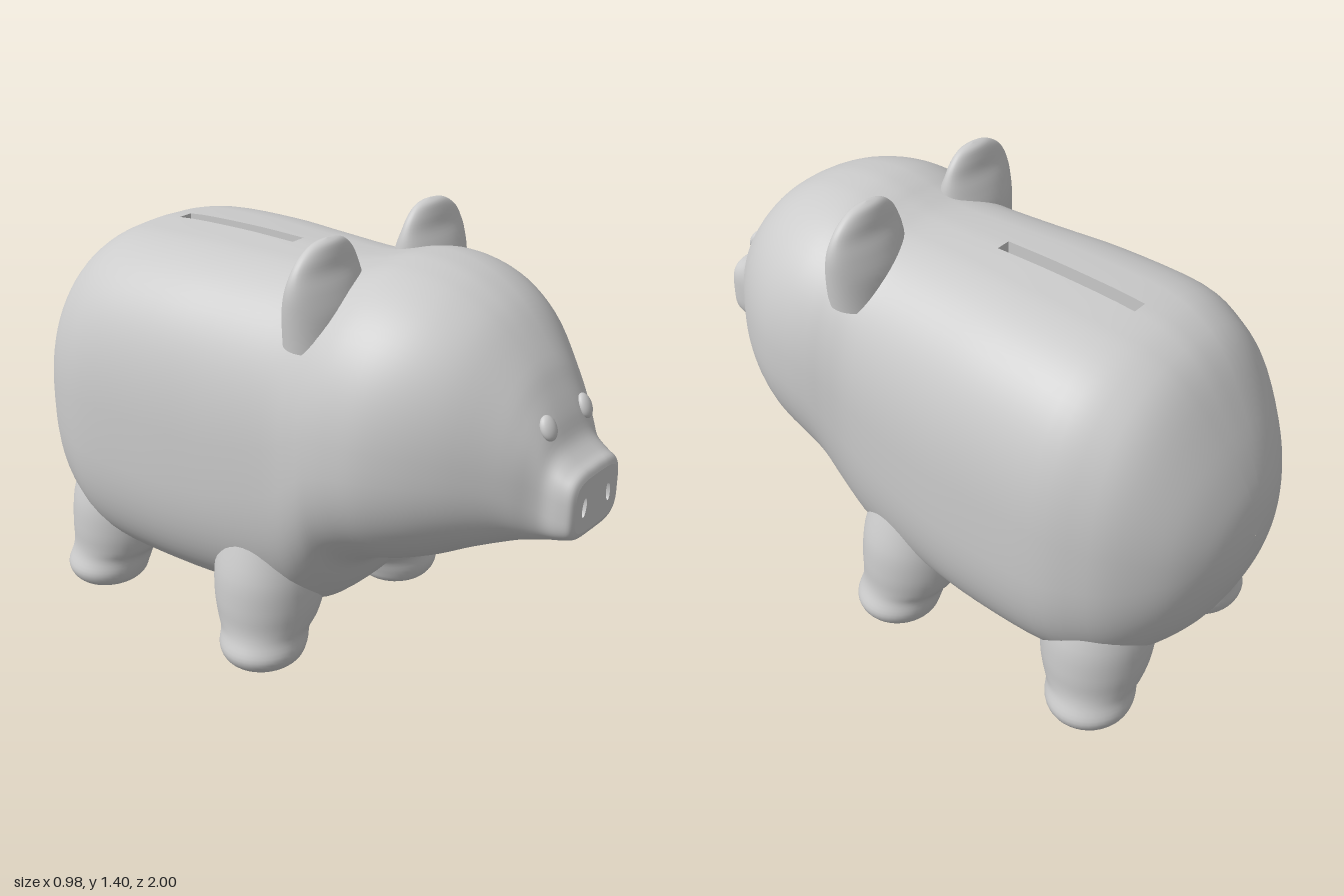
import * as THREE from 'three';

const SEG = 80, SUB = 4, SLOT = 0.025;

// Body stations from snout to rump: z, top, bottom, half width, height of widest point, squareness
const BODY = [
  [1.0, 0.835, 0.67, 0.11, 0.75, 4],
  [0.99, 0.855, 0.65, 0.128, 0.75, 3.8],
  [0.96, 0.872, 0.638, 0.138, 0.75, 3.6],
  [0.92, 0.91, 0.622, 0.145, 0.76, 3.2],
  [0.89, 0.975, 0.61, 0.165, 0.78, 2.9],
  [0.85, 1.045, 0.597, 0.205, 0.8, 2.5],
  [0.8, 1.12, 0.575, 0.25, 0.82, 2.3],
  [0.7, 1.225, 0.53, 0.335, 0.84, 2.3],
  [0.6, 1.285, 0.475, 0.4, 0.85, 2.3],
  [0.5, 1.315, 0.43, 0.442, 0.85, 2.3],
  [0.4, 1.322, 0.395, 0.455, 0.84, 2.35],
  [0.32, 1.308, 0.34, 0.452, 0.82, 2.4],
  [0.25, 1.285, 0.235, 0.442, 0.78, 2.5],
  [0.15, 1.265, 0.145, 0.438, 0.72, 2.6],
  [-0.08, 1.262, 0.13, 0.462, 0.66, 2.7],
  [-0.3, 1.258, 0.125, 0.482, 0.65, 2.8],
  [-0.56, 1.24, 0.128, 0.487, 0.65, 2.8],
  [-0.7, 1.2, 0.15, 0.453, 0.65, 2.6],
  [-0.8, 1.12, 0.205, 0.4, 0.65, 2.5],
  [-0.9, 0.97, 0.315, 0.305, 0.65, 2.3],
  [-0.96, 0.85, 0.44, 0.205, 0.65, 2.1],
  [-0.99, 0.755, 0.545, 0.105, 0.65, 2],
  [-1.0, 0.651, 0.649, 0.001, 0.65, 2],
];
const SLOT_START = 14 * SUB, SLOT_END = 16 * SUB;

// Leg rows: y, radius, lean towards the belly
const LEG = [
  [0, 0, 0], [0.003, 0.09, 0], [0.02, 0.127, 0], [0.06, 0.144, 0], [0.11, 0.146, 0.02],
  [0.15, 0.165, 0.045], [0.22, 0.18, 0.06], [0.32, 0.18, 0.07], [0.45, 0.16, 0.09],
];

// Ear rows: y, centre x, half width, half depth
const EAR = [
  [1.1, 0.26, 0.125, 0.1], [1.2, 0.25, 0.146, 0.095], [1.27, 0.252, 0.147, 0.072],
  [1.32, 0.252, 0.135, 0.048], [1.36, 0.248, 0.108, 0.036], [1.39, 0.242, 0.062, 0.022],
  [1.4, 0.24, 0, 0],
];

// Catmull-Rom smoothing of table rows
function smooth(rows, sub) {
  const out = [], last = rows.length - 1;
  for (let i = 0; i < last; i++) {
    const a = rows[Math.max(i - 1, 0)], b = rows[i], c = rows[i + 1], d = rows[Math.min(i + 2, last)];
    for (let s = 0; s < sub; s++) {
      const t = s / sub;
      out.push(b.map((p, k) => {
        const linear = c[k] - a[k];
        const square = 2 * a[k] - 5 * p + 4 * c[k] - d[k];
        const cubic = 3 * (p - c[k]) + d[k] - a[k];
        return p + 0.5 * t * (linear + t * (square + t * cubic));
      }));
    }
  }
  out.push(rows[last]);
  return out;
}

// Skin over closed rings; skip(i, j) leaves a cell open
function loft(rings, skip = () => false) {
  const n = rings[0].length, index = [];
  for (let i = 0; i < rings.length - 1; i++) {
    for (let j = 0; j < n; j++) {
      if (skip(i, j)) continue;
      const a = i * n + j, b = i * n + (j + 1) % n;
      index.push(a, b, a + n, b, b + n, a + n);
    }
  }
  const geo = new THREE.BufferGeometry();
  geo.setAttribute('position', new THREE.Float32BufferAttribute(rings.flat(2), 3));
  geo.setIndex(index);
  geo.computeVertexNormals();
  return geo;
}

// Superellipse section; the points beside the top line follow the slot edges
function bodyRing([z, top, bottom, w, mid, n]) {
  return Array.from({ length: SEG }, (_, j) => {
    const a = (2 * Math.PI * j) / SEG, c = Math.cos(a), s = Math.sin(a);
    let x = w * Math.sign(s) * Math.abs(s) ** (2 / n);
    let v = Math.sign(c) * Math.abs(c) ** (2 / n);
    if (j === 1 || j === SEG - 1) {
      x = Math.sign(s) * SLOT * Math.min(1, w / 0.2);
      v = (1 - Math.abs(x / w) ** n) ** (1 / n);
    }
    return [x, mid + v * (v > 0 ? top - mid : mid - bottom), z];
  });
}

function flatRing(cx, y, cz, rx, rz) {
  return Array.from({ length: 40 }, (_, j) => {
    const a = (2 * Math.PI * j) / 40;
    return [cx + rx * Math.sin(a), y, cz + rz * Math.cos(a)];
  });
}

export function createModel() {
  const group = new THREE.Group();
  const skin = new THREE.MeshStandardMaterial({ color: 0xcccccc });
  const inner = new THREE.MeshStandardMaterial({ color: 0xcccccc, side: THREE.BackSide });
  const add = (name, geo, mat = skin) => {
    const mesh = new THREE.Mesh(geo, mat);
    mesh.name = name;
    group.add(mesh);
    return mesh;
  };

  // Body and head in one skin, open at the coin slot
  const rings = smooth(BODY, SUB).map(bodyRing);
  add('body', loft(rings, (i, j) => i >= SLOT_START && i < SLOT_END && (j === 0 || j === SEG - 1)));

  // Inside of the coin slot, its rim following the back
  const cells = SLOT_END - SLOT_START;
  const slot = new THREE.BoxGeometry(2 * SLOT, 1, 1, 1, 1, cells);
  const p = slot.attributes.position;
  for (let i = 0; i < p.count; i++) {
    const edge = rings[SLOT_END - Math.round((p.getZ(i) + 0.5) * cells)][1];
    p.setY(i, p.getY(i) > 0 ? edge[1] : edge[1] - 0.06);
    p.setZ(i, edge[2]);
  }
  slot.computeVertexNormals();
  add('coinSlot', slot, inner);

  // Snout face with two nostril holes
  const face = new THREE.Shape(rings[0].map(([x, y]) => new THREE.Vector2(x, y)));
  for (const s of [-1, 1]) {
    const hole = new THREE.Path();
    hole.absellipse(s * 0.063, 0.75, 0.011, 0.03, 0, Math.PI * 2, false, s * 0.12);
    face.holes.push(hole);
  }
  add('snoutFace', new THREE.ShapeGeometry(face, 16)).position.z = 1;

  for (const s of [-1, 1]) {
    const side = s > 0 ? 'left' : 'right';

    // Nostril hollow
    const hollow = new THREE.SphereGeometry(1, 24, 8, 0, Math.PI * 2, Math.PI / 2, Math.PI / 2);
    hollow.rotateX(Math.PI / 2).scale(0.011, 0.03, 0.03);
    const nostril = add(side + 'Nostril', hollow, inner);
    nostril.position.set(s * 0.063, 0.75, 1);
    nostril.rotation.z = s * 0.12;

    // Eye
    const eye = add(side + 'Eye', new THREE.SphereGeometry(1, 24, 16));
    eye.scale.set(0.028, 0.037, 0.018);
    eye.position.set(s * 0.094, 0.968, 0.888);
    eye.rotation.set(-0.45, s * 0.15, 0);

    // Ear
    const earRings = smooth(EAR, 4).map(([y, cx, rx, rz]) => flatRing(s * cx, y, 0.232, rx, rz));
    add(side + 'Ear', loft(earRings));

    // Legs, leaning into the belly as they rise
    for (const [name, x, z, dir] of [['FrontLeg', 0.345, 0.065, -1], ['BackLeg', 0.315, -0.68, 1]]) {
      const legRings = smooth(LEG, 4).map(([y, r, lean]) =>
        flatRing(s * (x - lean), y, z + dir * lean * 0.4, r, r * 0.94));
      add(side + name, loft(legRings));
    }
  }
  return group;
}
